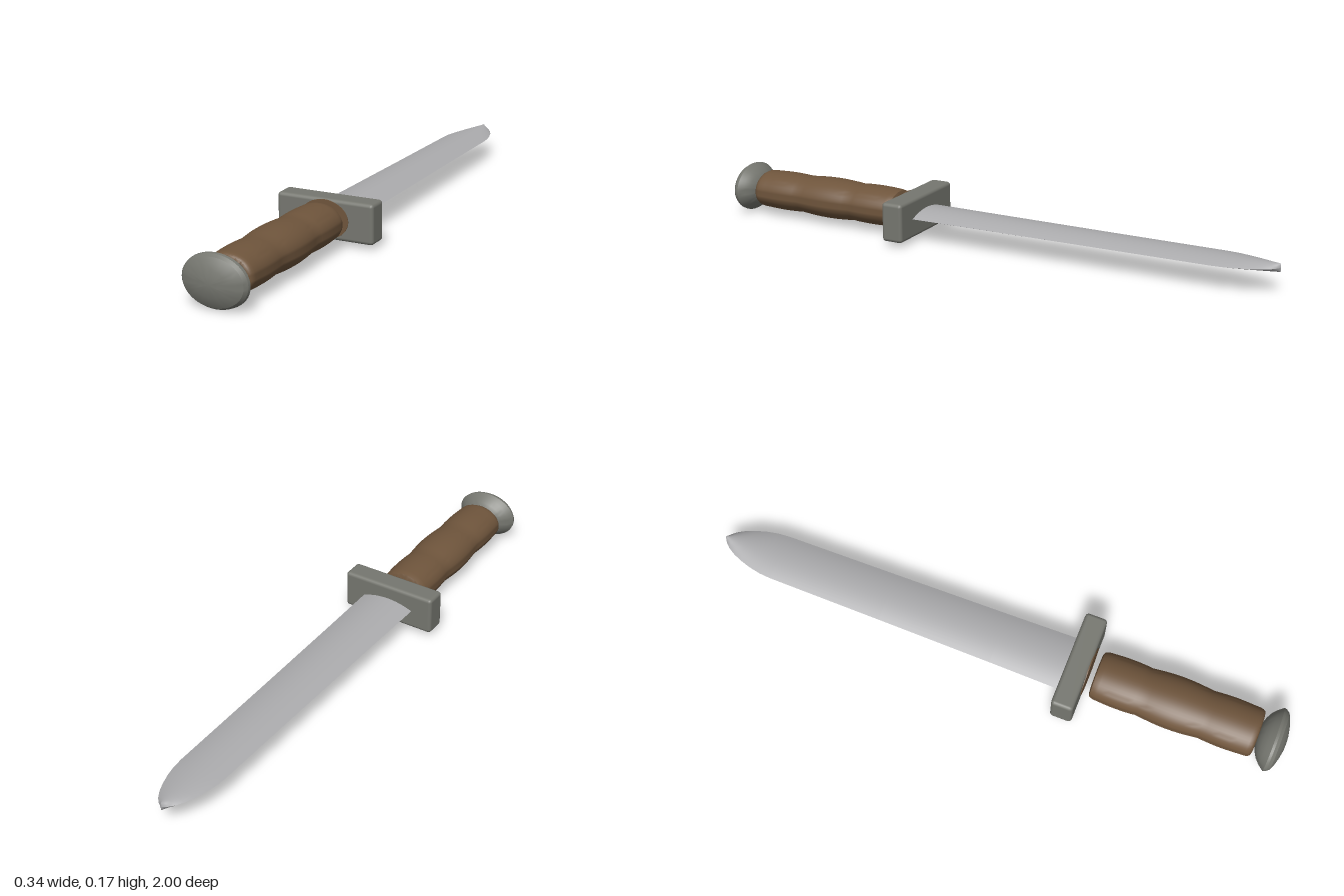
import * as THREE from 'three';
import { toCreasedNormals } from 'three/addons/utils/BufferGeometryUtils.js';
import { RoundedBoxGeometry } from 'three/addons/geometries/RoundedBoxGeometry.js';

const CY = 0.084;      // height of the central axis
const FLAT = 0.755;    // oval squash of the turned parts

const mat = (name, color, side = THREE.FrontSide) => {
  const m = new THREE.MeshStandardMaterial({ color, side });
  m.name = name;
  return m;
};

// Oval part turned about the z axis from [radius, z] pairs
function turned(profile, crease) {
  const geo = new THREE.LatheGeometry(profile.map(([r, z]) => new THREE.Vector2(r, z)), 48);
  geo.rotateX(Math.PI / 2);
  geo.scale(1, FLAT, 1);
  geo.computeVertexNormals();
  return toCreasedNormals(geo, crease);
}

// One curved face of the blade: sign 1 is the upper, -1 the lower
function bladeFace(sign) {
  const stations = [ // z, half width, half thickness
    [0.25, 0.095, 0.019], [0, 0.091, 0.018], [-0.4, 0.086, 0.016], [-0.8, 0.082, 0.014],
    [-0.84, 0.079, 0.014], [-0.88, 0.071, 0.014], [-0.92, 0.059, 0.014],
    [-0.95, 0.046, 0.014], [-0.975, 0.031, 0.014], [-0.99, 0.017, 0.014], [-1, 0.002, 0.014],
  ];
  const n = 16, pos = [], idx = [];
  for (const [z, w, t] of stations) {
    for (let i = 0; i <= n; i++) {
      const u = (i / n) * 2 - 1;
      pos.push(u * w, sign * t * (1 - u * u), z);
    }
  }
  for (let s = 0; s < stations.length - 1; s++) {
    for (let i = 0; i < n; i++) {
      const a = s * (n + 1) + i, b = a + 1, c = a + n + 1, d = c + 1;
      if (sign > 0) idx.push(a, b, c, b, d, c);
      else idx.push(a, c, b, b, c, d);
    }
  }
  const geo = new THREE.BufferGeometry();
  geo.setAttribute('position', new THREE.Float32BufferAttribute(pos, 3));
  geo.setIndex(idx);
  geo.computeVertexNormals();
  return geo;
}

export function createModel() {
  const model = new THREE.Group();
  model.name = 'dagger';
  const steel = mat('blade steel', 0xacacae, THREE.DoubleSide);
  const iron = mat('dark iron', 0x767770);
  const wood = mat('brown wood', 0x6f553c);

  const add = (name, geo, material, z = 0) => {
    const mesh = new THREE.Mesh(geo, material);
    mesh.name = name;
    mesh.position.set(0, CY, z);
    model.add(mesh);
  };

  // Blade
  add('bladeUpper', bladeFace(1), steel);
  add('bladeLower', bladeFace(-1), steel);

  // Cross guard
  add('guard', new RoundedBoxGeometry(0.34, 0.134, 0.076, 2, 0.012), iron, 0.281);

  // Wooden disc set on the guard
  add('guardDisc', turned([[0, 0], [0.085, 0], [0.085, 0.004], [0, 0.004]], 0.6), wood, 0.317);

  // Grip with three gentle swells
  const grip = [[0, 0.343], [0.07, 0.344], [0.08, 0.348], [0.084, 0.36]];
  const swells = [[0.37, 0.51, 0.085, 0.088], [0.51, 0.725, 0.084, 0.092], [0.725, 0.885, 0.084, 0.088]];
  for (const [z0, z1, low, high] of swells) {
    for (let i = 0; i < 8; i++) {
      const t = i / 8;
      grip.push([low + (high - low) * Math.sin(Math.PI * t), z0 + (z1 - z0) * t]);
    }
  }
  grip.push([0.085, 0.885], [0.083, 0.895], [0.078, 0.902], [0.068, 0.905], [0, 0.905]);
  add('grip', turned(grip, 0.7), wood);

  // Pommel: flared back, bevelled rim and domed cap
  add('pommel', turned([
    [0, 0.903], [0.035, 0.905], [0.06, 0.913], [0.08, 0.924], [0.097, 0.939], [0.111, 0.957],
    [0.109, 0.966], [0.1, 0.977],
    [0.08, 0.986], [0.055, 0.993], [0.028, 0.998], [0, 1],
  ], 0.38), iron);

  return model;
}
